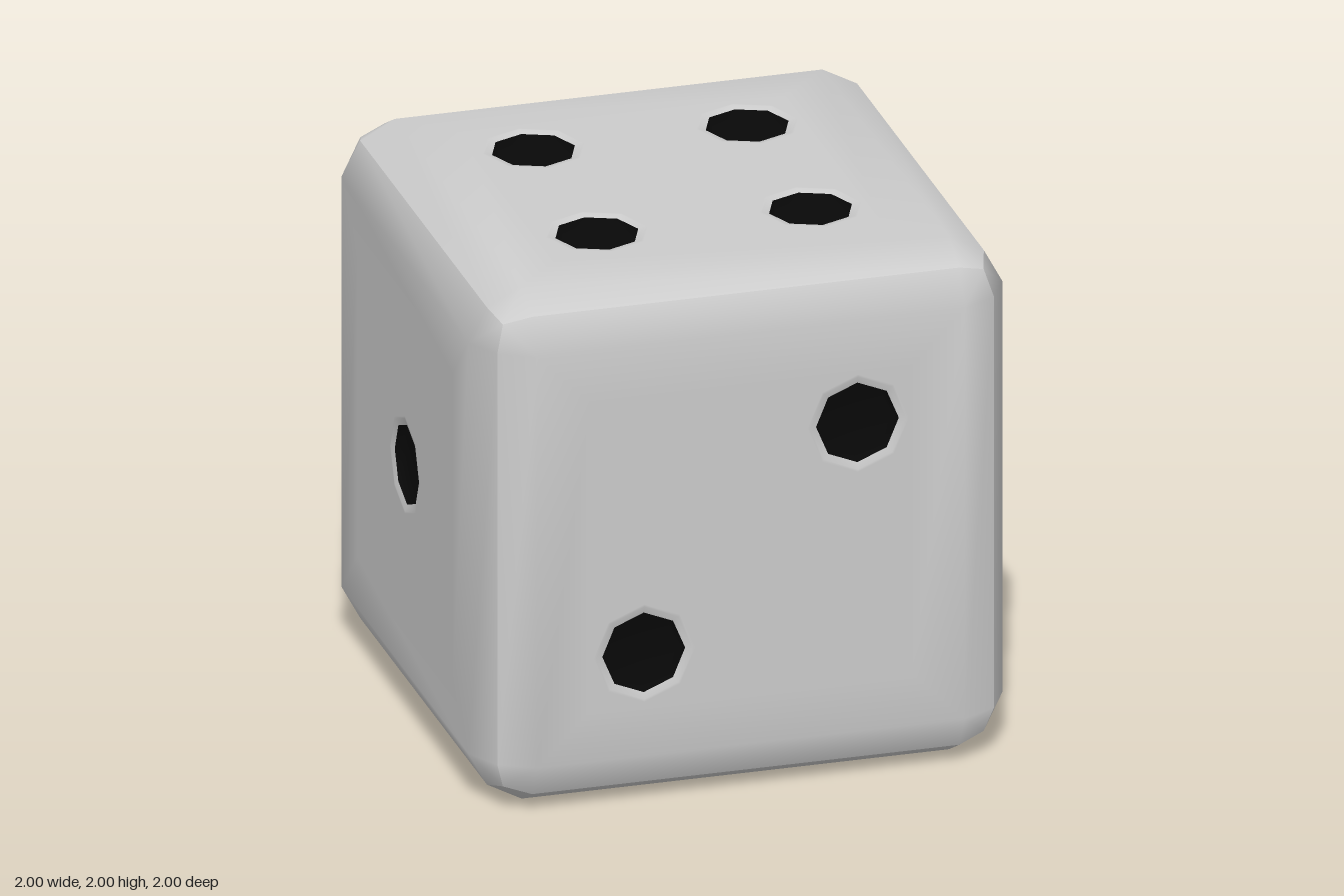
import * as THREE from 'three';
import { mergeVertices } from 'three/addons/utils/BufferGeometryUtils.js';

const grey = new THREE.MeshStandardMaterial({ color: 0xcccccc });
const black = new THREE.MeshStandardMaterial({ color: 0x080808 });

const FLAT = 0.6, LIP = 0.19, PIP = 0.155;

// Rounded border of one face: three loops of 12 points, from the flat panel to the rim.
function borderGeometry() {
  const corner = [[0.93, 0.8, 0.93], [0.9, 0.9, 0.9], [0.8, 0.93, 0.93]];
  const loops = [[], [], []];
  for (let q = 0; q < 4; q++) {
    const turn = (x, y, z) => [[x, y, z], [-y, x, z], [-x, -y, z], [y, -x, z]][q];
    for (const c of corner) {
      loops[0].push(turn(FLAT, FLAT, 1));
      loops[1].push(turn(0.8, 0.8, 1));
      loops[2].push(turn(...c));
    }
  }
  const index = [];
  for (let l = 0; l < 2; l++) {
    for (let i = 0; i < 12; i++) {
      const a = l * 12 + i, b = l * 12 + (i + 1) % 12;
      index.push(a, a + 12, b + 12, a, b + 12, b);
    }
  }
  const geo = new THREE.BufferGeometry();
  geo.setAttribute('position', new THREE.Float32BufferAttribute(loops.flat(2), 3));
  geo.setIndex(index);
  const merged = mergeVertices(geo);
  merged.computeVertexNormals();
  return merged;
}

// Flat panel with an octagonal opening for each pip.
function panelGeometry(pips) {
  const shape = new THREE.Shape([[-1, -1], [1, -1], [1, 1], [-1, 1]]
    .map(([x, y]) => new THREE.Vector2(x * FLAT, y * FLAT)));
  for (const [x, y] of pips) {
    const hole = [];
    for (let i = 0; i < 8; i++) {
      const a = -i * Math.PI / 4;
      hole.push(new THREE.Vector2(x + LIP * Math.cos(a), y + LIP * Math.sin(a)));
    }
    shape.holes.push(new THREE.Path(hole));
  }
  return new THREE.ShapeGeometry(shape).translate(0, 0, 1);
}

// Eight-sided turned surface facing +z.
function turned(profile) {
  return new THREE.LatheGeometry(profile.map(([r, h]) => new THREE.Vector2(r, h)), 8)
    .rotateX(Math.PI / 2);
}

export function createModel() {
  const die = new THREE.Group();
  die.name = 'die';
  const border = borderGeometry();
  const lip = turned([[LIP, 0], [0.18, 0], [PIP, -0.008]]);
  const recess = turned([[PIP, -0.008], [0.14, -0.05], [0, -0.05]]);

  // Pip positions in steps of 0.4, and the rotation that turns each face outward.
  const diagonal = [[-1, -1], [1, 1]];
  const four = [...diagonal, [-1, 1], [1, -1]];
  const h = Math.PI / 2;
  const faces = [
    ['frontFace', diagonal, 0, 0],
    ['backFace', [...four, [0, 0]], 0, Math.PI],
    ['leftFace', [...four, [-1, 0], [1, 0]], 0, h],
    ['rightFace', [[0, 0]], 0, -h],
    ['topFace', four, -h, 0],
    ['bottomFace', [...diagonal, [0, 0]], h, 0],
  ];

  for (const [name, layout, rx, ry] of faces) {
    const face = new THREE.Group();
    face.name = name;
    const add = (part, geo, mat, x = 0, y = 0, z = 0) => {
      const mesh = new THREE.Mesh(geo, mat);
      mesh.name = part;
      mesh.position.set(x, y, z);
      face.add(mesh);
    };
    const pips = layout.map(([x, y]) => [x * 0.4, y * 0.4]);
    add('panel', panelGeometry(pips), grey);
    add('roundedBorder', border, grey);
    for (const [x, y] of pips) {
      add('pipLip', lip, grey, x, y, 1);
      add('pip', recess, black, x, y, 1);
    }
    face.rotation.set(rx, ry, 0);
    face.position.y = 1;
    die.add(face);
  }
  return die;
}
